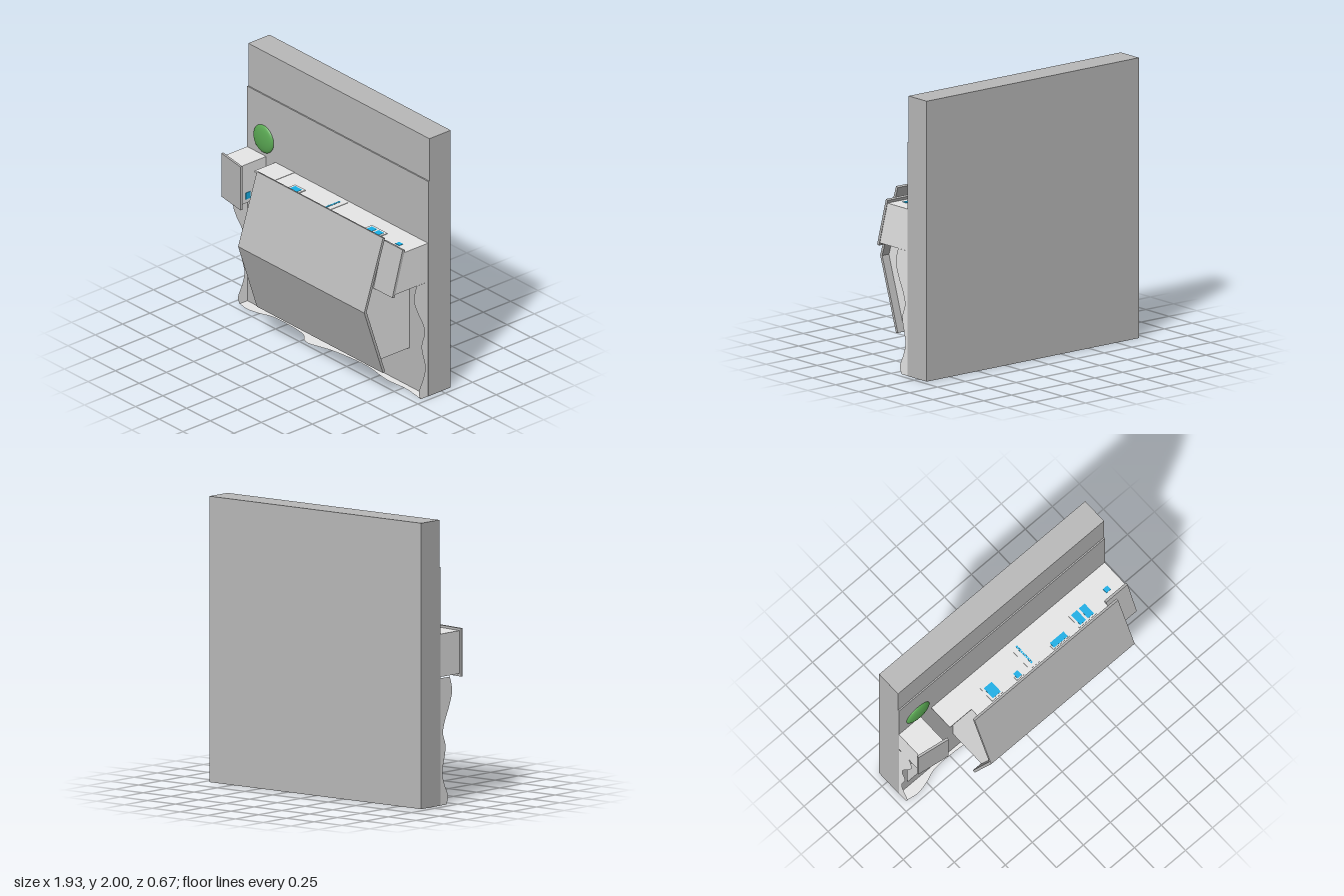
import * as THREE from 'three';

const mat = (name, color, side = THREE.FrontSide) => {
  const m = new THREE.MeshStandardMaterial({ color, side });
  m.name = name;
  return m;
};

export function createModel() {
  const group = new THREE.Group();
  group.name = 'houseOnPlot';
  const grey = mat('stoneGrey', 0xb9b9b9);
  const white = mat('wallWhite', 0xe8e8e8);
  const sheet = mat('fenceWhite', 0xe8e8e8);
  sheet.side = THREE.DoubleSide;
  const blue = mat('glassBlue', 0x16b3eb);
  const green = mat('bushGreen', 0x5aa853);
  const GROUND = -0.13;

  const add = (name, geo, material) => {
    const mesh = new THREE.Mesh(geo, material);
    mesh.name = name;
    group.add(mesh);
    return mesh;
  };
  // Box given by its limits
  const box = (name, x0, x1, y0, y1, z0, z1, material) =>
    add(name, new THREE.BoxGeometry(x1 - x0, y1 - y0, z1 - z0)
      .translate((x0 + x1) / 2, (y0 + y1) / 2, (z0 + z1) / 2), material);
  const shapeOf = (pts) => new THREE.Shape(pts.map(([a, b]) => new THREE.Vector2(a, b)));
  const extrude = (shape, depth) => new THREE.ExtrudeGeometry(shape, { depth, bevelEnabled: false });
  // Profile of (z, y) points run along x
  const alongX = (name, pts, x0, x1, material) =>
    add(name, extrude(shapeOf(pts), x1 - x0).rotateY(-Math.PI / 2).translate(x1, 0, 0), material);
  // Profile of (x, z) points run along y
  const alongY = (name, pts, y0, y1, material) =>
    add(name, extrude(shapeOf(pts), y1 - y0).rotateX(Math.PI / 2).translate(0, y1, 0), material);
  const smooth = (pts) => new THREE.SplineCurve(pts.map(([a, b]) => new THREE.Vector2(a, b)))
    .getPoints(60).map((p) => [p.x, p.y]);

  // Plot: base, lawn layer with a sunken pool, slightly lower road
  box('plotBase', -0.95, 0.96, 0, 1.67, -0.335, -0.235, grey);
  box('road', -0.95, 0.96, 1.67, 2, -0.335, -0.14, grey);
  const lawn = shapeOf([[-0.95, 0], [0.96, 0], [0.96, 1.67], [-0.95, 1.67]]);
  lawn.holes.push(new THREE.Path(
    [[-0.87, 0.1], [-0.87, 0.4], [-0.67, 0.4], [-0.67, 0.1]].map(([a, b]) => new THREE.Vector2(a, b))));
  add('lawnWithPool', extrude(lawn, 0.105).translate(0, 0, -0.235), grey);

  // Main house: gabled body and folded roof
  alongX('houseWalls', [[GROUND, 0.3], [0.17, 0.3], [0.312, 0.75], [0.17, 1.19], [GROUND, 1.19]],
    -0.45, 0.76, white);
  alongX('mainRoof', [[0.335, 0.75], [0.163, 1.275], [0.144, 1.268], [0.313, 0.75],
    [0.144, 0.232], [0.163, 0.225]], -0.51, 0.82, grey);

  // Side annex with a lean-to roof
  alongX('annexWalls', [[GROUND, 0.89], [0.174, 0.89], [0.092, 1.19], [GROUND, 1.19]], 0.76, 0.957, white);
  alongX('annexRoof', [[0.18, 0.87], [0.2, 0.876], [0.105, 1.217], [0.085, 1.211]], 0.762, 0.96, grey);

  // Garden wall joining the house front
  box('gardenWall', -0.65, -0.45, 1.18, 1.193, GROUND, 0.063, white);

  // Detached shed with a tilted roof
  alongY('shedWalls', [[-0.95, GROUND], [-0.75, GROUND], [-0.75, 0.11], [-0.95, 0.079]], 0.9, 1.2, white);
  alongY('shedRoof', [[-0.965, 0.075], [-0.72, 0.113], [-0.723, 0.13], [-0.967, 0.092]], 0.88, 1.217, grey);
  box('shedWindow', -0.751, -0.746, 0.93, 0.98, 0.015, 0.06, blue);

  // Facade windows: frame limits x0, x1, z0, z1 and number of panes
  const Y = 1.19;
  [[-0.305, -0.195, -0.01, 0.115, 1], [-0.075, -0.012, 0.052, 0.115, 1],
    [0.265, 0.415, 0.052, 0.115, 1], [0.505, 0.668, -0.01, 0.115, 2]].forEach(([x0, x1, z0, z1, n]) => {
    box('windowFrame', x0, x1, Y - 0.002, Y + 0.006, z0, z1, white);
    const b = n === 2 || z0 < 0 ? 0.018 : 0.011;
    const w = (x1 - x0 - b * (n + 1)) / n;
    for (let i = 0; i < n; i++) {
      const px = x0 + b + i * (w + b);
      box('windowPane', px, px + w, Y, Y + 0.0075, z0 + b * 0.9, z1 - b * 0.7, blue);
    }
  });
  box('annexWindow', 0.815, 0.857, Y - 0.002, Y + 0.003, 0.01, 0.047, blue);

  // Front door with a strip of little panes
  box('frontDoor', 0.045, 0.137, Y - 0.002, Y + 0.004, -0.108, 0.115, white);
  for (let i = 0; i < 10; i++) {
    const z = -0.077 + i * 0.017;
    box('doorPane', 0.082, 0.097, Y, Y + 0.006, z, z + 0.012, blue);
  }

  // Wavy fences round the back garden
  const side = smooth([[-0.024, 0.89], [0, 0.79], [-0.03, 0.69], [-0.08, 0.58], [-0.098, 0.5], [-0.07, 0.4],
    [-0.103, 0.24], [-0.085, 0.15], [-0.045, 0.06], [-0.06, 0]]);
  [[0.958, 'rightEdgeFence'], [-0.948, 'leftEdgeFence']].forEach(([x, name]) =>
    add(name, new THREE.ShapeGeometry(shapeOf([...side, [GROUND, 0], [GROUND, 0.89]]))
      .rotateY(-Math.PI / 2).translate(x, 0, 0), sheet));
  const rear = smooth([[-0.948, -0.06], [-0.85, -0.045], [-0.75, -0.065], [-0.65, -0.1], [-0.52, -0.107],
    [-0.32, -0.09], [-0.2, -0.025], [0.02, -0.08], [0.32, -0.108], [0.58, -0.075], [0.78, -0.085], [0.958, -0.06]]);
  add('rearFence', new THREE.ShapeGeometry(shapeOf([...rear, [0.958, GROUND], [-0.948, GROUND]]))
    .rotateX(Math.PI / 2).translate(0, 0.002, 0), sheet);

  // Low round bush
  const bush = add('bush', new THREE.SphereGeometry(0.105, 32, 20), green);
  bush.scale.z = 0.25;
  bush.position.set(-0.775, 1.328, GROUND);

  return group;
}
